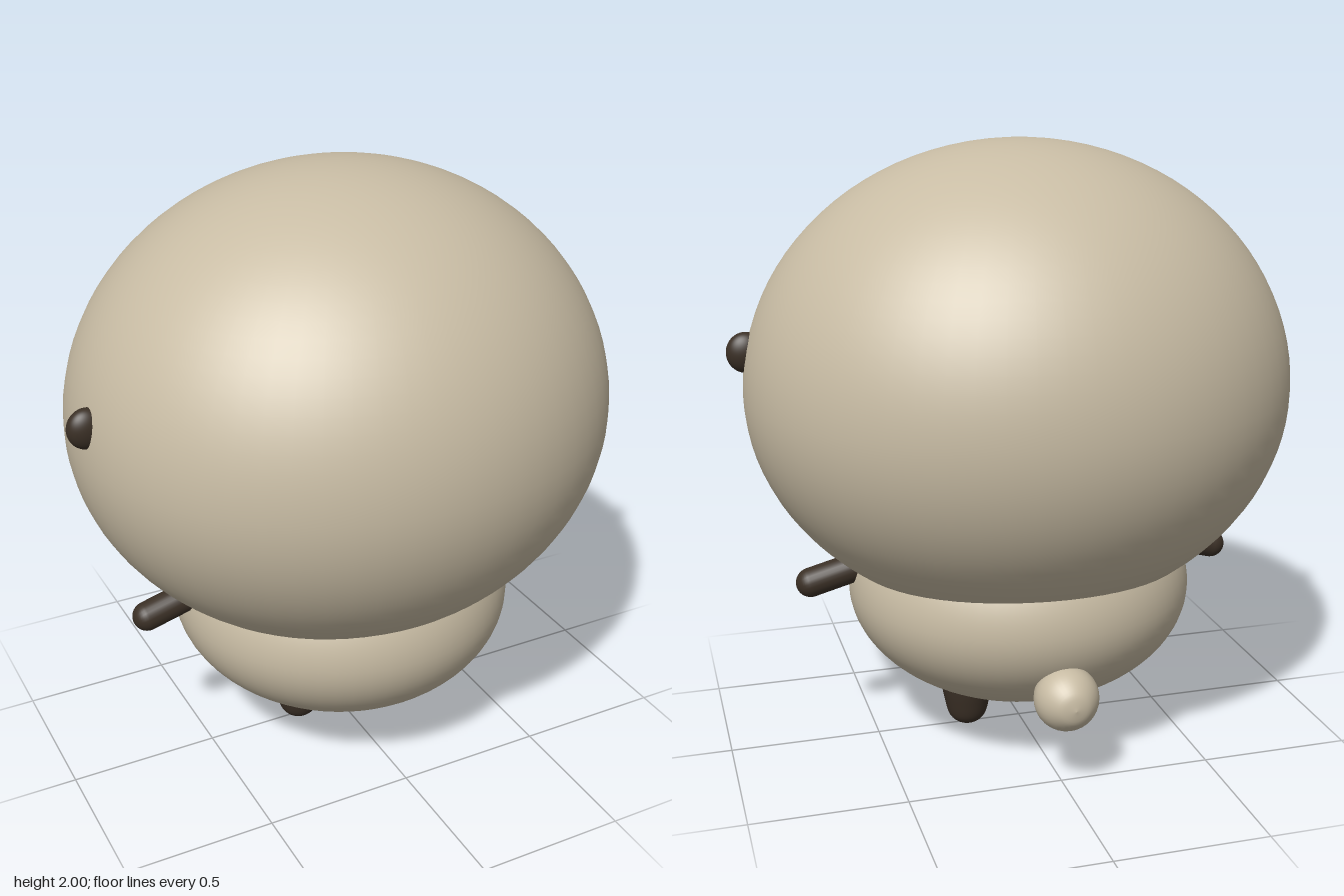
import * as THREE from 'three';

const cream = new THREE.MeshStandardMaterial({ color: 0xc8bca4 });
cream.name = 'cream';
const darkBrown = new THREE.MeshStandardMaterial({ color: 0x3b3026 });
darkBrown.name = 'dark brown';

// Egg-like ellipsoid: different heights above and below its widest ring
function egg(rx, up, down, rz) {
  const geo = new THREE.SphereGeometry(1, 64, 48);
  const p = geo.attributes.position, n = geo.attributes.normal;
  const v = new THREE.Vector3();
  for (let i = 0; i < p.count; i++) {
    v.fromBufferAttribute(p, i);
    const ry = v.y >= 0 ? up : down;
    p.setXYZ(i, v.x * rx, v.y * ry, v.z * rz);
    v.set(v.x / rx, v.y / ry, v.z / rz).normalize();
    n.setXYZ(i, v.x, v.y, v.z);
  }
  return geo;
}

// Smooth solid of revolution from a few profile points, bottom to top
function turned(points) {
  const curve = new THREE.SplineCurve(points.map(([r, y]) => new THREE.Vector2(r, y)));
  const pts = curve.getPoints(32).map((q) => new THREE.Vector2(Math.max(q.x, 0), q.y));
  return new THREE.LatheGeometry(pts, 32);
}

export function createModel() {
  const group = new THREE.Group();
  const add = (name, geo, mat, x, y, z) => {
    const mesh = new THREE.Mesh(geo, mat);
    mesh.name = name;
    mesh.position.set(x, y, z);
    group.add(mesh);
    return mesh;
  };

  // Big head sunk over the small body
  add('head', egg(0.9, 0.8, 0.75, 0.83), cream, 0, 1.2, 0);
  add('body', egg(0.578, 0.42, 0.385, 0.578), cream, 0.002, 0.52, 0);

  const legGeo = turned([[0, 0], [0.035, 0.007], [0.063, 0.035], [0.078, 0.09], [0.088, 0.15], [0.092, 0.22], [0, 0.26]]);
  const armGeo = new THREE.CapsuleGeometry(0.049, 0.28, 10, 24);
  const earGeo = egg(0.063, 0.066, 0.066, 0.042);

  for (const side of [-1, 1]) {
    const label = side > 0 ? 'left' : 'right';
    add(label + 'Leg', legGeo, darkBrown, side * 0.175 + 0.012, 0, 0);
    const arm = add(label + 'Arm', armGeo, darkBrown, side * 0.575 + 0.003, 0.607, 0);
    arm.rotation.z = side * (Math.PI / 2 - 0.26);
    add(label + 'Ear', earGeo, darkBrown, side * 0.88, 1.333 + side * 0.007, 0.077);
  }

  // Teardrop tail, narrow end buried in the body
  const tail = add('tail',
    turned([[0, -0.1], [0.05, -0.087], [0.09, -0.045], [0.104, 0.005], [0.09, 0.06], [0.06, 0.12], [0, 0.2]]),
    cream, 0, 0.31, -0.55);
  tail.rotation.x = Math.PI / 2;

  return group;
}
